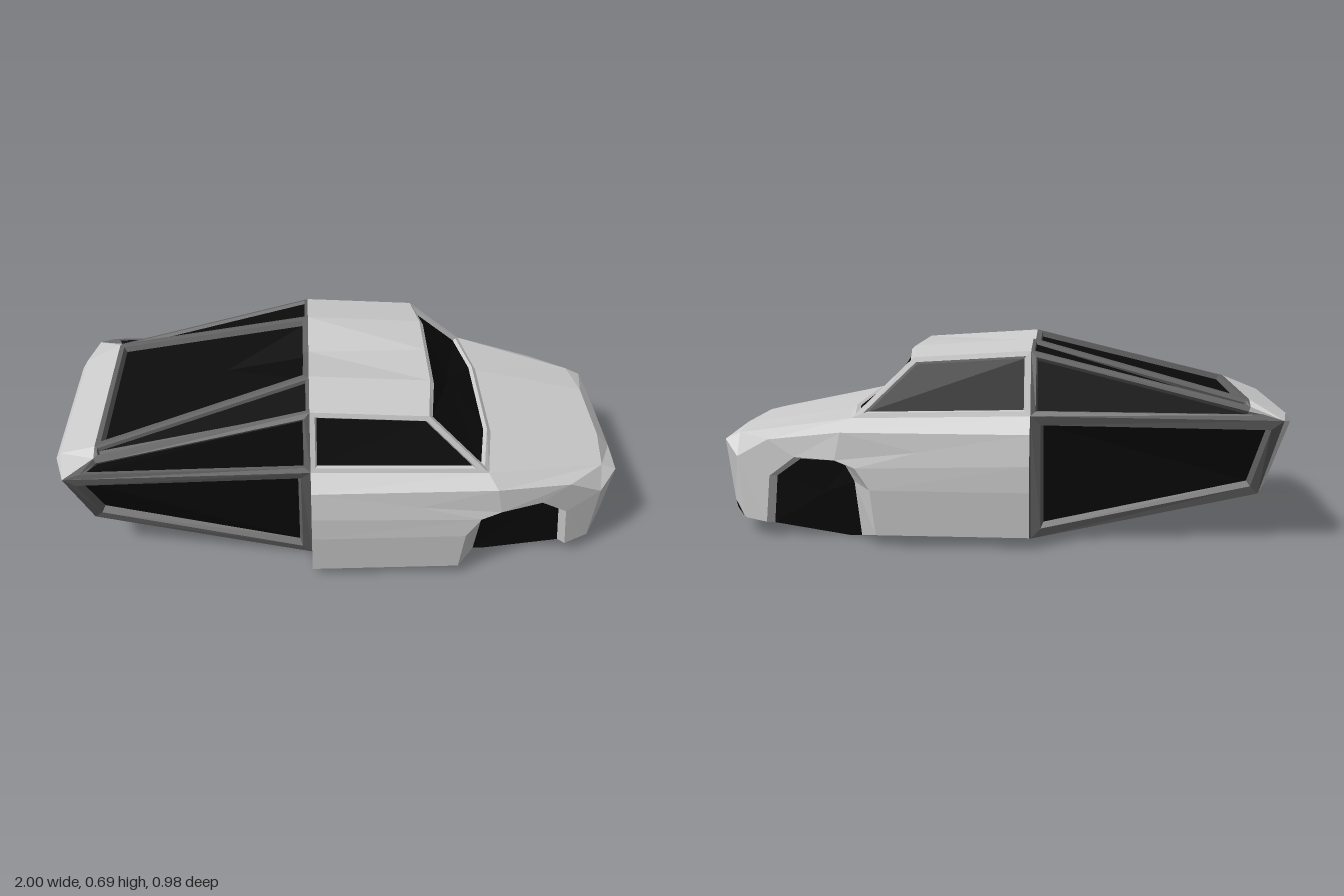
import * as THREE from 'three';

const mat = (color) => new THREE.MeshStandardMaterial({ color, flatShading: true, side: THREE.DoubleSide });
const body = mat(0xcccccc), trim = mat(0x626262), black = mat(0x0b0b0b);

const V = (p) => new THREE.Vector3(...p);
const mirror = (pts) => pts.map(([x, y, z]) => [x, y, -z]);
// closes a half outline with its mirror image
const sym = (pts) => [...pts, ...mirror(pts).reverse()];
const core = V([0, 0.25, 0]);

// Newell normal and centre of a polygon
function planeOf(pts) {
  const n = new THREE.Vector3(), c = new THREE.Vector3();
  pts.forEach((p, i) => {
    n.add(new THREE.Vector3().crossVectors(p, pts[(i + 1) % pts.length]));
    c.addScaledVector(p, 1 / pts.length);
  });
  return { n: n.normalize(), c };
}

// turns the corners so that the polygon faces away from the core
function outward(raw) {
  const pts = raw.map(V), { n, c } = planeOf(pts);
  return n.dot(c.clone().sub(core)) < 0 ? pts.reverse() : pts;
}

function meshOf(name, material, faces) {
  const pos = [];
  for (const f of faces) {
    const add = (...vs) => vs.forEach((v) => pos.push(v.x, v.y, v.z));
    if (f.length < 5) for (let i = 1; i < f.length - 1; i++) add(f[0], f[i], f[i + 1]);
    else {
      const { c } = planeOf(f);
      f.forEach((p, i) => add(c, p, f[(i + 1) % f.length]));
    }
  }
  const g = new THREE.BufferGeometry();
  g.setAttribute('position', new THREE.Float32BufferAttribute(pos, 3));
  g.computeVertexNormals();
  const m = new THREE.Mesh(g, material);
  m.name = name;
  return m;
}

// polygons, optionally repeated on the other side
function panel(name, material, faces, both = true) {
  const all = both ? faces.concat(faces.map(mirror)) : faces;
  return meshOf(name, material, all.map(outward));
}

// frame around a recessed black pane; lip is the flat share of the frame width
function framed(name, material, raw, width, depth, lip = 0.75) {
  const pts = outward(raw), { n } = planeOf(pts), k = pts.length;
  const normals = pts.map((p, i) =>
    new THREE.Vector3().crossVectors(n, pts[(i + 1) % k].clone().sub(p)).normalize());
  const offset = (w, d) => pts.map((p, i) => {
    const a = normals[(i + k - 1) % k], b = normals[i];
    return p.clone().addScaledVector(a.clone().add(b), w / (1 + a.dot(b))).addScaledVector(n, -d);
  });
  const mid = offset(width * lip, 0), inner = offset(width, depth);
  const ring = (a, b) => a.map((p, i) => [p, a[(i + 1) % k], b[(i + 1) % k], b[i]]);
  const g = new THREE.Group();
  g.name = name;
  g.add(meshOf(name + 'Frame', material, [...ring(pts, mid), ...ring(mid, inner)]),
    meshOf(name + 'Pane', black, [inner]));
  return g;
}

export function createModel() {
  const car = new THREE.Group();
  car.name = 'carBody';

  // cab side outline at the rear bulkhead, from sill to belt
  const S0 = [-0.11, 0, 0.345], A0 = [-0.11, 0.04, 0.475], B0 = [-0.11, 0.2, 0.49];
  const E0 = [-0.11, 0.29, 0.49], C0 = [-0.11, 0.395, 0.475], D0 = [-0.11, 0.45, 0.425];
  // wheel arch, outer rim and inner rim
  const arch = [[0.415, 0.04, 0.475], [0.43, 0.2, 0.49], [0.48, 0.275, 0.488], [0.55, 0.3, 0.48],
    [0.7, 0.3, 0.435], [0.8, 0.225, 0.4], [0.82, 0.055, 0.387]];
  const well = [[0.49, 0, 0.345], [0.5, 0.21, 0.4], [0.53, 0.265, 0.4], [0.56, 0.285, 0.4],
    [0.69, 0.285, 0.39], [0.78, 0.22, 0.37], [0.8, 0.045, 0.355]];
  const [R0, R1, R2, R3, R4, R5, R6] = arch;
  // fender, bonnet and nose
  const C1 = [0.53, 0.395, 0.475], C2 = [0.8, 0.355, 0.405], F = [0.925, 0.285, 0.362], FB = [0.91, 0.06, 0.347];
  const H1 = [0.54, 0.435, 0.2], H2 = [0.5, 0.437, 0.43], J1 = [0.95, 0.37, 0.14], J2 = [0.93, 0.36, 0.305];
  const N1 = [1, 0.315, 0.14], N2 = [0.985, 0.335, 0.3], U1 = [0.985, 0.07, 0.14], U2 = [0.975, 0.1, 0.25];
  const G1 = [0.995, 0.267, 0.15], G2 = [0.985, 0.29, 0.255], G3 = [0.98, 0.145, 0.22], G4 = [0.985, 0.115, 0.15];
  // roof
  const T1 = [0.31, 0.663, 0.195], T2 = [0.29, 0.64, 0.37], T0 = [0.31, 0.663, 0];
  const K0 = [-0.11, 0.663, 0], K1 = [-0.11, 0.69, 0.195], K2 = [-0.11, 0.665, 0.37];
  // tail
  const P1 = [-0.895, 0.168, 0.31], P2 = [-0.95, 0.445, 0.43];
  const L1 = [-0.85, 0.5, 0.32], L2 = [-0.85, 0.48, 0.36];
  const Q0 = [-0.98, 0.45, 0.29], Q1 = [-1, 0.42, 0.28], Q2 = [-0.94, 0.175, 0.18];
  // floor edge below the nose
  const W0 = [0.53, 0, 0.345], W1 = [0.968, 0.07, 0.25];

  car.add(
    panel('cabSide', body, [
      [S0, A0, R0, well[0]], [A0, R0, R1, B0], [B0, R1, R2, E0], [E0, R2, R3, C1, C0], [C0, C1, H2, D0]]),
    panel('fender', body, [
      [R3, R4, C2, C1], [R4, R5, C2], [R5, F, C2], [R5, R6, FB, F],
      [C1, C2, J2, H2], [C2, F, J2], [F, N2, J2]]),
    panel('wheelArch', body, arch.slice(1).map((p, i) => [arch[i], p, well[i + 1], well[i]])),
    panel('wheelWell', black, [[...well, W0]]),
    panel('bonnetSide', body, [[H1, J1, J2, H2], [J1, N1, N2, J2]]),
    panel('bonnetCentre', body, [sym([H1, J1]), sym([J1, N1])], false),
    panel('noseSide', body, [[N2, F, FB, U2], [N1, G1, G2, N2], [N2, G2, G3, U2], [G3, G4, U1, U2]]),
    panel('noseCentre', body, [sym([N1, G1]), sym([G4, U1])], false),
    framed('grille', body, sym([G1, G2, G3, G4]), 0.024, 0.03, 0.1),
    panel('roof', body, [[T1, T2, K2, K1], [T0, T1, K1, K0]]),
    framed('windscreen', body, sym([H1, H2, T2, T1]), 0.026, 0.012),
    panel('bulkheadEdge', trim, [[S0, A0, B0, E0, C0, D0]]));

  // glazing and rear frame panels on both sides
  for (const side of [(p) => p, mirror]) {
    car.add(
      framed('sideWindow', body, side([D0, H2, T2, K2]), 0.023, 0.012),
      framed('rearSidePanel', trim, side([D0, S0, P1, P2]), 0.045, 0.025),
      framed('rearQuarterWindow', trim, side([D0, P2, L2, K2]), 0.024, 0.012),
      framed('deckSidePanel', trim, side([K2, K1, L1, L2]), 0.016, 0.012));
  }

  car.add(
    framed('deckPanel', trim, [K0, K1, L1, ...mirror([L1, K1])], 0.026, 0.02),
    panel('tailLip', body, [[L1, L2, P2, Q0], [Q0, P2, Q1]]),
    panel('tailLipCentre', body, [sym([L1, Q0]), sym([Q0, Q1])], false),
    panel('tailCorner', body, [[P2, P1, Q2, Q1]]),
    framed('tailPanel', trim, sym([Q1, Q2]), 0.025, 0.025),
    // underside
    panel('floor', black, [
      sym([S0, P1, Q2]), sym([S0, W0]), sym([W0, well[6], R6, FB, W1, U1])], false),
    panel('chin', black, [[FB, U2, W1], [U2, U1, W1]]));

  return car;
}
